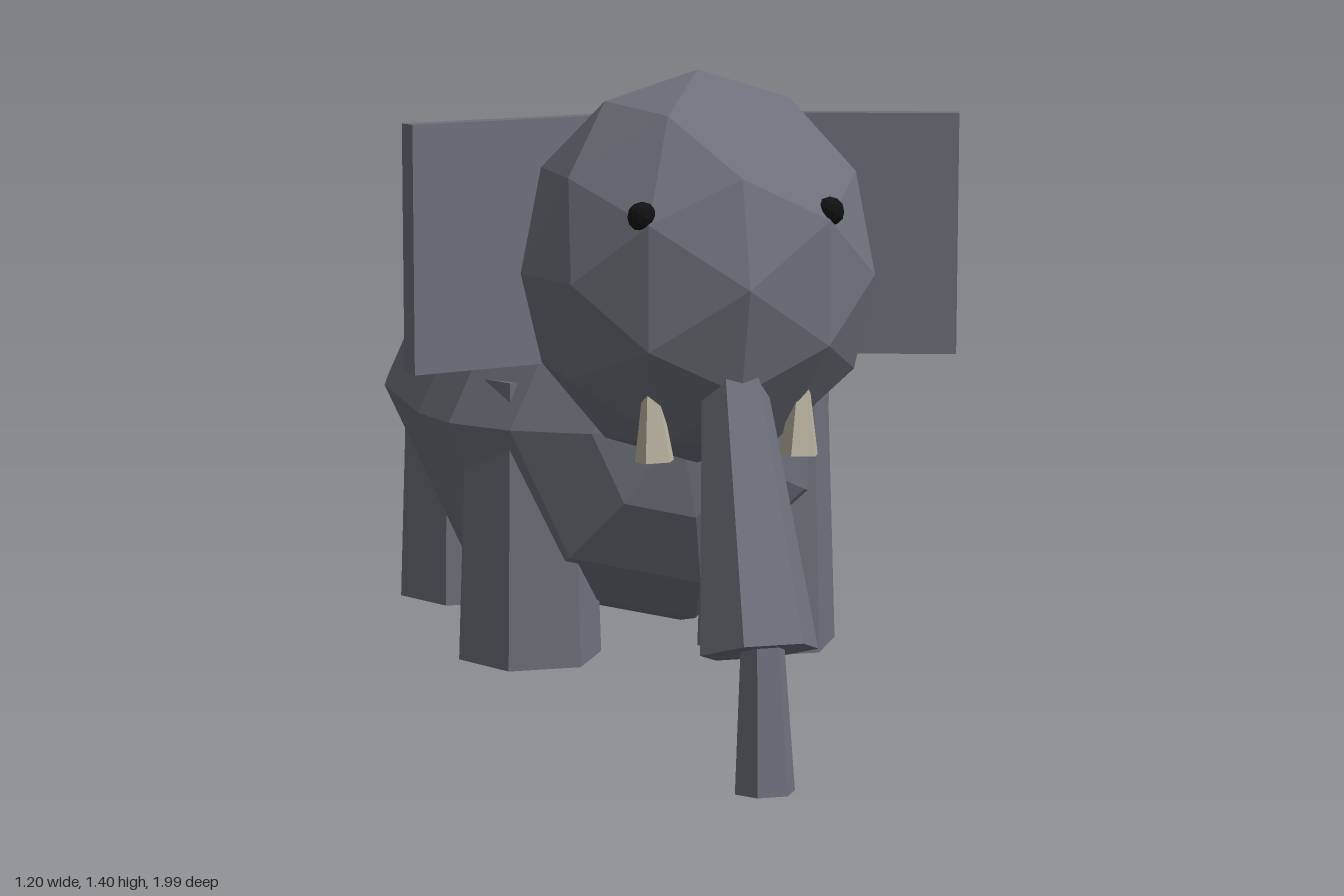
import * as THREE from 'three';

const flat = (name, color) => {
  const m = new THREE.MeshStandardMaterial({ color, flatShading: true });
  m.name = name;
  return m;
};

export function createModel() {
  const grey = flat('greySkin', 0x6e717b);
  const cream = flat('creamIvory', 0xbab4a0);
  const black = flat('blackEye', 0x111111);
  const model = new THREE.Group();
  model.name = 'elephant';

  const add = (name, geometry, material, x = 0, y = 0, z = 0) => {
    const mesh = new THREE.Mesh(geometry, material);
    mesh.name = name;
    mesh.position.set(x, y, z);
    model.add(mesh);
    return mesh;
  };

  // Tapered prism between two points, with corners on the x axis
  const limb = (name, top, bottom, rTop, rBottom, material = grey, sides = 6) => {
    const a = new THREE.Vector3(...top), b = new THREE.Vector3(...bottom);
    const axis = a.clone().sub(b);
    const geometry = new THREE.CylinderGeometry(rTop, rBottom, axis.length(), sides);
    geometry.rotateY(Math.PI / 6);
    const mesh = add(name, geometry, material);
    mesh.position.copy(a).add(b).multiplyScalar(0.5);
    mesh.quaternion.setFromUnitVectors(new THREE.Vector3(0, 1, 0), axis.normalize());
    return mesh;
  };

  // Seven-sided barrel body lying along z
  const body = new THREE.CapsuleGeometry(0.4, 0.4, 4, 7);
  body.rotateX(Math.PI / 2);
  body.scale(0.489 / 0.4, 0.513 / 0.4, 1);
  add('body', body, grey, 0, 0.622, -0.29);

  // Faceted head
  const head = new THREE.IcosahedronGeometry(1, 1);
  head.scale(0.375, 0.41, 0.39);
  add('head', head, grey, 0, 0.99, 0.436);

  // Trunk in two segments, and tail
  limb('upperTrunk', [0, 0.938, 0.66], [0, 0.28, 0.9], 0.052, 0.122);
  limb('lowerTrunk', [0, 0.33, 0.918], [0, 0.006, 0.943], 0.043, 0.062);
  limb('tail', [0, 0.55, -0.85], [0, 0.235, -0.974], 0.016, 0.026);

  for (const side of [1, -1]) {
    const label = side > 0 ? 'left' : 'right';

    // Slab ears swept forward
    const ear = add(label + 'Ear', new THREE.BoxGeometry(0.46, 0.515, 0.045), grey,
      side * 0.375, 1.037, 0.297);
    ear.rotation.y = -side * 0.305;

    add(label + 'Eye', new THREE.IcosahedronGeometry(0.03, 1), black, side * 0.194, 1.132, 0.725);

    limb(label + 'Tusk', [side * 0.158, 0.79, 0.66], [side * 0.152, 0.63, 0.67],
      0.016, 0.042, cream, 5);

    // Legs with small sole pads
    for (const [end, z] of [['Front', 0.048], ['Back', -0.625]]) {
      limb(label + end + 'Leg', [side * 0.27, 0.72, z], [side * 0.27, 0.095, z], 0.138, 0.16);
      add(label + end + 'SolePad', new THREE.CylinderGeometry(0.045, 0.045, 0.004, 6), cream,
        side * 0.27, 0.095, z);
    }
  }
  return model;
}
